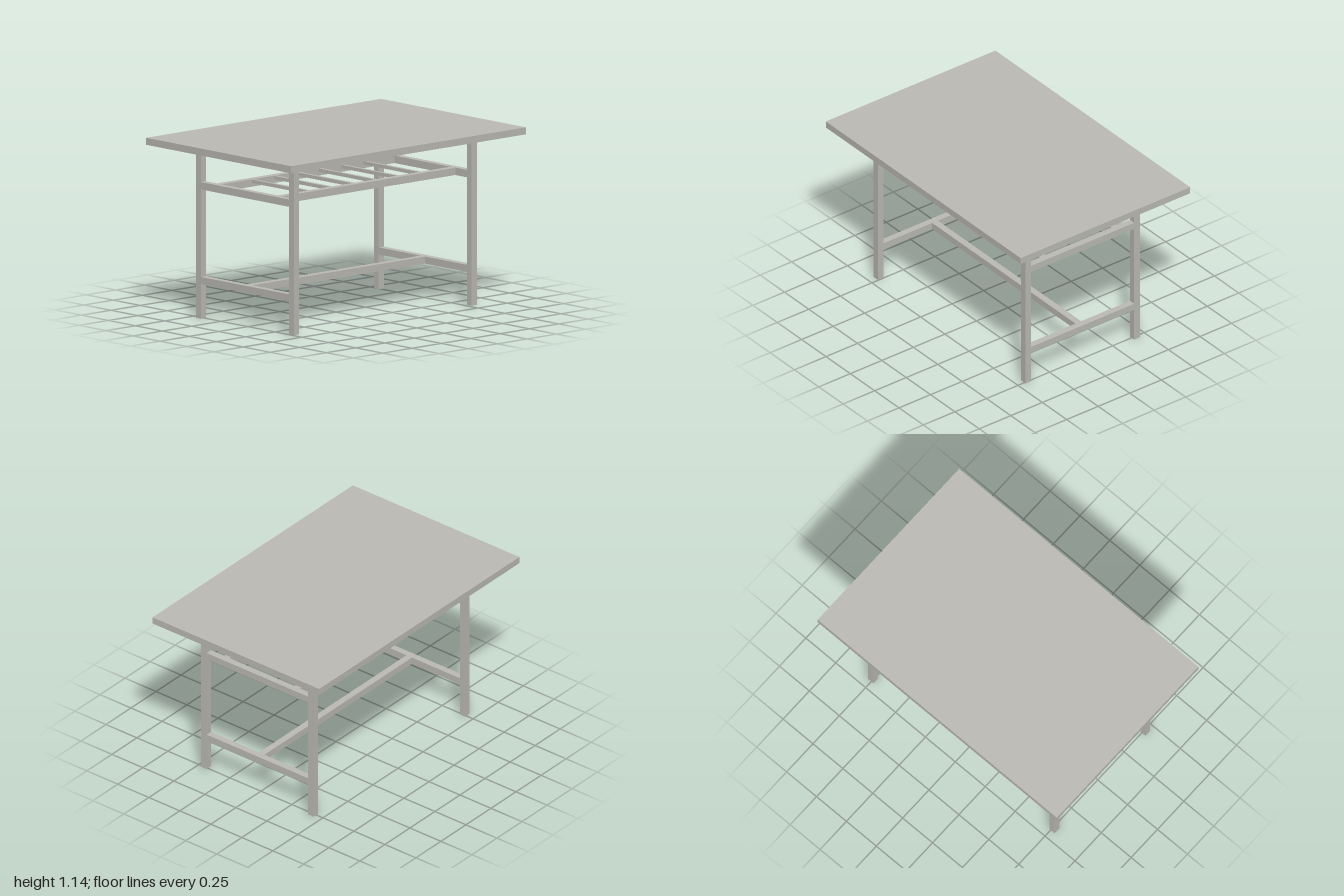
import * as THREE from 'three';

export function createModel() {
  const table = new THREE.Group();
  table.name = 'table';
  const grey = new THREE.MeshStandardMaterial({ color: 0xbdbcb6 });
  grey.name = 'warmGrey';

  // Box given by its extents along each axis
  function bar(name, [x0, x1], [y0, y1], [z0, z1]) {
    const mesh = new THREE.Mesh(new THREE.BoxGeometry(x1 - x0, y1 - y0, z1 - z0), grey);
    mesh.position.set((x0 + x1) / 2, (y0 + y1) / 2, (z0 + z1) / 2);
    mesh.name = name;
    table.add(mesh);
  }

  const upper = [0.825, 0.872];
  const lower = [0.222, 0.267];
  const ends = { left: [0.732, 0.776], right: [-0.783, -0.74] };

  bar('tableTop', [-1, 1], [1.1, 1.145], [-0.672, 0.672]);

  // End frames: two legs joined by two cross rails
  for (const [side, x] of Object.entries(ends)) {
    bar(`${side}FrontLeg`, x, [0.012, 1.1], [0.416, 0.461]);
    bar(`${side}BackLeg`, x, [0, 1.1], [-0.446, -0.401]);
    bar(`${side}UpperRail`, x, upper, [-0.401, 0.416]);
    bar(`${side}LowerRail`, x, lower, [-0.401, 0.416]);
  }

  // Long members between the end frames
  const span = [-0.74, 0.732];
  bar('frontShelfRail', span, upper, [0.265, 0.31]);
  bar('backShelfRail', span, upper, [-0.3, -0.255]);
  bar('footStretcher', span, lower, [-0.015, 0.03]);

  // Slats of the shelf under the top
  for (let i = 0; i < 6; i++) {
    const x = -0.47 + i * 0.19;
    bar('shelfSlat', [x - 0.011, x + 0.011], [0.848, 0.87], [-0.255, 0.265]);
  }
  return table;
}
